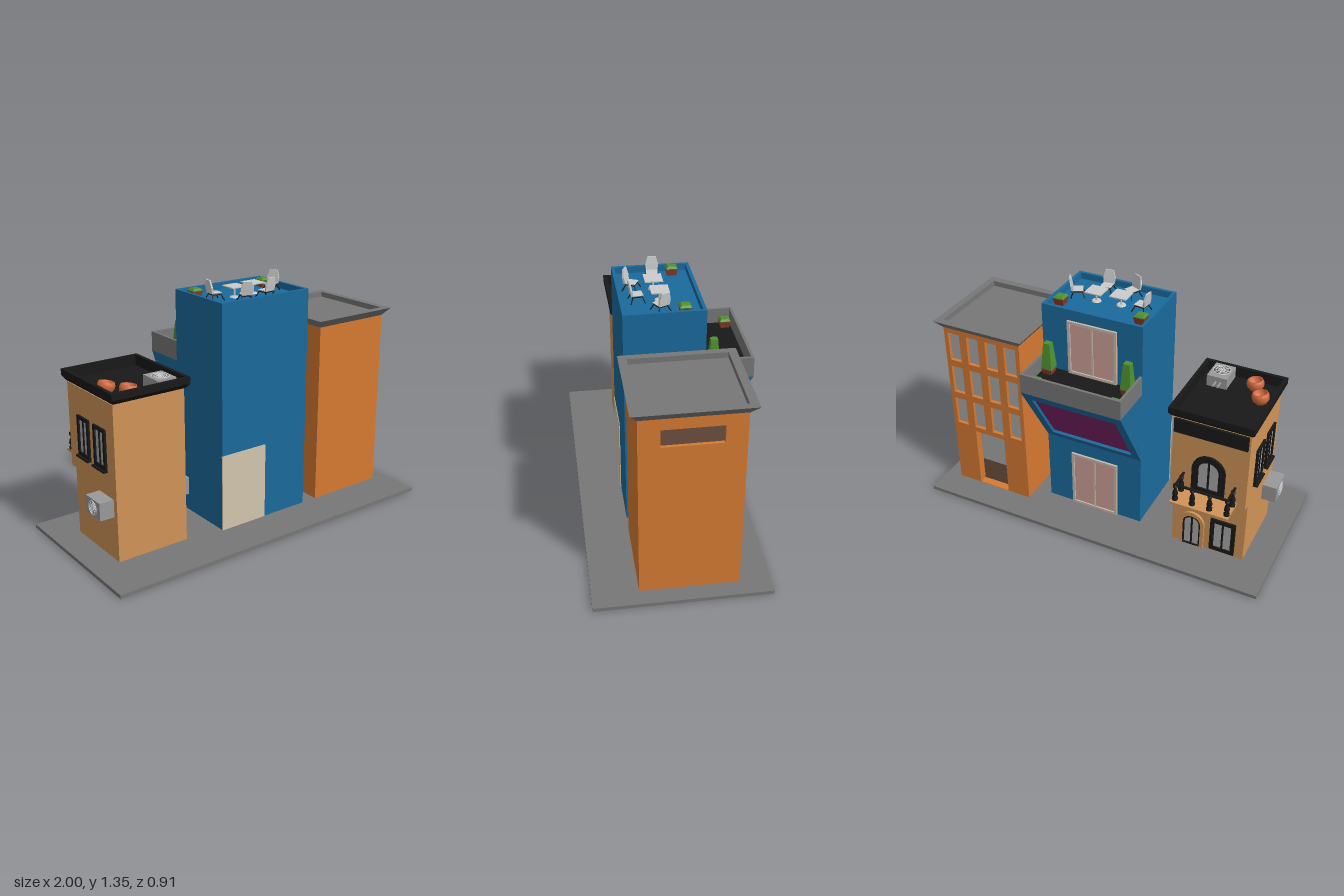
import * as THREE from 'three';

const mats = {};
const mat = (c) => (mats[c] ??= new THREE.MeshStandardMaterial({ color: c, side: THREE.DoubleSide }));
const GREY = 0xcccccc, STONE = 0x777777, BLACK = 0x181818, ORANGE = 0xd67a32, BLUE = 0x1a6a9c;
const TAN = 0xd09458, GLASS = 0xa8a8a8, BROWN = 0x6e4e40, GREEN = 0x4f9030, POT = 0x8c3b2c;

function add(parent, name, geo, color, x = 0, y = 0, z = 0) {
  const m = new THREE.Mesh(geo, mat(color));
  m.name = name;
  m.position.set(x, y, z);
  parent.add(m);
  return m;
}

function group(parent, name, x = 0, y = 0, z = 0, ry = 0) {
  const g = new THREE.Group();
  g.name = name;
  g.position.set(x, y, z);
  g.rotation.y = ry;
  parent.add(g);
  return g;
}

// Box given by its limits
const box = (p, name, c, x0, x1, y0, y1, z0, z1) =>
  add(p, name, new THREE.BoxGeometry(x1 - x0, y1 - y0, z1 - z0), c, (x0 + x1) / 2, (y0 + y1) / 2, (z0 + z1) / 2);

// Rectangular cross-sections [halfX, halfZ, y] joined in order, closed at both ends
function loft(sections) {
  const rings = sections.map(([a, b, y]) => [[-a, y, b], [a, y, b], [a, y, -b], [-a, y, -b]]);
  const pos = [];
  const quad = (a, b, c, d) => pos.push(...a, ...b, ...c, ...a, ...c, ...d);
  for (let i = 0; i < rings.length - 1; i++)
    for (let k = 0; k < 4; k++) {
      const n = (k + 1) % 4;
      quad(rings[i][k], rings[i][n], rings[i + 1][n], rings[i + 1][k]);
    }
  quad(...rings.at(-1));
  quad(...rings[0].reverse());
  const g = new THREE.BufferGeometry();
  g.setAttribute('position', new THREE.Float32BufferAttribute(pos, 3));
  g.computeVertexNormals();
  return g;
}

// Rectangle standing on y, centred on x, optionally with a round arch on top
function outline(Type, x, y, w, h, arch) {
  const s = new Type(), r = w / 2;
  s.moveTo(x - r, y).lineTo(x + r, y);
  if (arch) s.lineTo(x + r, y + h - r).absarc(x, y + h - r, r, 0, Math.PI, false);
  else s.lineTo(x + r, y + h).lineTo(x - r, y + h);
  s.closePath();
  return s;
}

// Plate with openings, extruded along +z
function plate(x, y, w, h, holes, depth, arch) {
  const s = outline(THREE.Shape, x, y, w, h, arch);
  holes.forEach((o) => s.holes.push(outline(THREE.Path, ...o)));
  return new THREE.ExtrudeGeometry(s, { depth, bevelEnabled: false, curveSegments: 12 });
}

// Framed opening with pane and centre bar, facing local +z
function framedWindow(p, name, x, y, w, h, t, frame, pane, arch) {
  const g = group(p, name, x, y);
  add(g, 'frame', plate(0, 0, w, h, [[0, t, w - 2 * t, h - 2 * t, arch]], 0.012, arch), frame);
  add(g, 'pane', plate(0, t, w - 2 * t, h - 2 * t, [], 0.004, arch), pane);
  box(g, 'centreBar', frame, -0.005, 0.005, t, h - t, 0, 0.009);
  return g;
}

function fan(p, r) {
  add(p, 'fanDisc', new THREE.CircleGeometry(r, 24), 0x444444, 0, 0, 0.001);
  for (const k of [1, 0.7, 0.4]) add(p, 'fanRing', new THREE.TorusGeometry(r * k, 0.003, 6, 24), GREY, 0, 0, 0.002);
  for (let i = 0; i < 4; i++) add(p, 'fanSpoke', new THREE.BoxGeometry(r * 2, 0.004, 0.003), GREY, 0, 0, 0.002).rotation.z = i * Math.PI / 4;
}

function planter(p, x, y, z, tall) {
  const g = group(p, 'planter', x, y, z);
  add(g, 'pot', loft([[0.024, 0.024, 0], [0.03, 0.03, 0.035], [0.025, 0.025, 0.035], [0.025, 0.025, 0.03]]), POT);
  add(g, 'plant', tall ? loft([[0.03, 0.03, 0.03], [0.018, 0.018, 0.18]])
    : loft([[0.024, 0.024, 0.025], [0.03, 0.03, 0.04], [0.02, 0.02, 0.05]]), GREEN);
}

function chair(p, x, y, z, ry) {
  const g = group(p, 'chair', x, y, z, ry);
  add(g, 'seat', loft([[0.024, 0.024, 0.034], [0.03, 0.03, 0.042]]), GREY);
  add(g, 'backrest', loft([[0.03, 0.005, 0], [0.034, 0.005, 0.03], [0.022, 0.004, 0.072]]), GREY, 0, 0.04, -0.028).rotation.x = -0.15;
  for (const sx of [-1, 1]) for (const sz of [-1, 1]) {
    const leg = add(g, 'leg', new THREE.CylinderGeometry(0.003, 0.003, 0.04, 6), BLACK, sx * 0.03, 0.018, sz * 0.03);
    leg.rotation.set(-sz * 0.4, 0, sx * 0.4);
  }
  box(g, 'legFrame', BLACK, -0.026, 0.026, 0.03, 0.035, -0.026, 0.026);
}

function table(p, x, y, z) {
  const g = group(p, 'table', x, y, z);
  box(g, 'tableTop', GREY, -0.047, 0.047, 0.057, 0.063, -0.047, 0.047);
  add(g, 'tableLeg', new THREE.CylinderGeometry(0.005, 0.005, 0.058, 8), GREY, 0, 0.029);
  add(g, 'tableFoot', new THREE.CylinderGeometry(0.022, 0.026, 0.006, 16), GREY, 0, 0.003);
}

function apartmentBlock(root) {
  const g = group(root, 'apartmentBlock');
  box(g, 'core', ORANGE, 0.44, 0.89, 0.02, 1.04, -0.245, 0.215);
  // Back wall: twelve windows and a deep doorway
  const back = group(g, 'backFacade', 0.675, 0, -0.245, Math.PI);
  const door = [0, 0.02, 0.19, 0.37], wins = [];
  for (let r = 0; r < 3; r++) for (let c = 0; c < 4; c++) wins.push([(c - 1.5) * 0.117, 0.42 + r * 0.21, 0.072, 0.17]);
  add(back, 'backWall', plate(0, 0.02, 0.47, 1.02, [[0, 0.021, 0.19, 0.369], ...wins], 0.05), ORANGE);
  wins.forEach((w) => add(back, 'windowPane', plate(...w, [], 0.03), GLASS));
  add(back, 'doorPanel', plate(...door, [], 0.003), BROWN);
  add(back, 'doorWindow', plate(0, 0.165, 0.19, 0.225, [], 0.005), GLASS);
  // Side wall with a recessed slot
  const side = group(g, 'sideFacade', 0.89, 0, -0.015, Math.PI / 2);
  const slot = [0.025, 0.885, 0.3, 0.095];
  add(side, 'sideWall', plate(0, 0.02, 0.46, 1.02, [slot], 0.02), ORANGE);
  add(side, 'slotPanel', plate(...slot, [], 0.003), BROWN);
  add(g, 'cornice', loft([[0.235, 0.255, 1.04], [0.27, 0.293, 1.085], [0.232, 0.25, 1.085], [0.232, 0.25, 1.055]]), STONE, 0.675, 0, -0.042);
}

function terraceHouse(root) {
  const g = group(root, 'terraceHouse');
  const cx = 0.06, hx = 0.285, roofY = 1.235;
  add(g, 'body', loft([[hx, 0.2075, 0.02], [hx, 0.2075, 1.27], [hx - 0.018, 0.19, 1.27], [hx - 0.018, 0.19, roofY]]), BLUE, cx, 0, 0.0075);
  box(g, 'frontPanel', 0xd3c6ae, -0.226, 0.062, 0.02, 0.45, 0.21, 0.218);
  // Sloped underside carrying a screen
  const wedge = new THREE.Shape([[0.19, 0.473], [0.2, 0.49], [0.427, 0.875], [0.19, 0.875]].map((q) => new THREE.Vector2(...q)));
  add(g, 'wedge', new THREE.ExtrudeGeometry(wedge, { depth: 2 * hx, bevelEnabled: false }), BLUE, cx - hx).rotation.y = Math.PI / 2;
  const slope = group(g, 'screenFace', cx, 0.46, -0.183);
  slope.rotation.set(-Math.atan2(0.25, 0.425), Math.PI, 0);
  const screen = [0, 0.045, 0.48, 0.385];
  add(slope, 'screenFrame', plate(0, 0, 2 * hx, 0.493, [screen], 0.02), BLUE);
  add(slope, 'screen', plate(...screen, [], 0.004), 0x7d2268);
  // Terrace
  box(g, 'terraceFloor', BLACK, cx - hx + 0.01, cx + hx - 0.01, 0.876, 0.9, -0.44, -0.2);
  box(g, 'terraceBackParapet', STONE, cx - hx, cx + hx, 0.875, 0.985, -0.45, -0.435);
  for (const s of [-1, 1]) {
    const x = cx + s * (hx - 0.0075);
    box(g, 'terraceSideParapet', STONE, x - 0.0075, x + 0.0075, 0.875, 0.985, -0.435, -0.2);
    planter(g, cx + s * 0.228, 0.9, -0.25, true);
    planter(g, cx + s * 0.228, 0.9, -0.4, false);
    planter(g, cx + s * 0.228, roofY, -0.1, false);
  }
  const doors = group(g, 'glassDoors', 0.055, 0, -0.2, Math.PI);
  framedWindow(doors, 'streetDoor', 0, 0.02, 0.28, 0.35, 0.015, 0xc9bbae, 0xcfa198);
  framedWindow(doors, 'terraceDoor', 0, 0.9, 0.28, 0.31, 0.015, 0xc9bbae, 0xcfa198);
  // Rooftop seating
  table(g, 0, roofY, 0.02);
  table(g, 0.135, roofY, 0.005);
  chair(g, -0.12, roofY, 0.01, 1.45);
  chair(g, 0.25, roofY, 0.015, -1.1);
  chair(g, -0.01, roofY, 0.13, 2.7);
  chair(g, 0.13, roofY, 0.12, 3.25);
}

function balconyHouse(root) {
  const g = group(root, 'balconyHouse');
  const cx = -0.64;
  box(g, 'lowerStorey', TAN, -0.845, -0.435, 0.02, 0.4, -0.235, 0.18);
  box(g, 'upperStorey', TAN, -0.845, -0.435, 0.395, 0.86, -0.28, 0.18);
  add(g, 'roof', loft([[0.207, 0.235, 0.865], [0.225, 0.257, 0.89], [0.225, 0.257, 0.925], [0.205, 0.237, 0.925], [0.205, 0.237, 0.868]]), BLACK, cx, 0, -0.047);
  box(g, 'signBoard', BLACK, -0.835, -0.445, 0.78, 0.86, -0.295, -0.28);
  // Back openings
  const up = group(g, 'upperFacade', cx, 0, -0.28, Math.PI);
  framedWindow(up, 'balconyDoor', 0, 0.435, 0.18, 0.24, 0.035, BLACK, GLASS, true);
  const low = group(g, 'lowerFacade', cx, 0, -0.235, Math.PI);
  add(low, 'doorSurround', plate(-0.09, 0.02, 0.14, 0.225, [[-0.09, 0.021, 0.1, 0.2, true]], 0.014, true), TAN);
  framedWindow(low, 'archedDoor', -0.09, 0.02, 0.1, 0.2, 0.008, BLACK, GLASS, true);
  framedWindow(low, 'shopWindow', 0.085, 0.035, 0.14, 0.21, 0.022, BLACK, GLASS);
  // Balcony
  box(g, 'balconySlab', TAN, -0.8, -0.485, 0.42, 0.435, -0.42, -0.28);
  const vase = [[0, 0], [0.016, 0], [0.016, 0.012], [0.009, 0.016], [0.015, 0.035], [0.013, 0.05], [0.006, 0.07], [0.012, 0.08], [0.012, 0.092], [0, 0.092]];
  const baluster = new THREE.LatheGeometry(vase.map((q) => new THREE.Vector2(...q)), 12);
  for (const x of [-0.785, -0.6917, -0.5983, -0.505]) add(g, 'baluster', baluster, BLACK, x, 0.435, -0.39);
  box(g, 'balconyRail', BLACK, -0.795, -0.495, 0.525, 0.532, -0.397, -0.383);
  for (const x of [-0.785, -0.505]) {
    add(g, 'baluster', baluster, BLACK, x, 0.435, -0.31);
    box(g, 'balconySideRail', BLACK, x - 0.006, x + 0.006, 0.525, 0.532, -0.39, -0.28);
  }
  // Side windows and wall coolers
  for (const s of [-1, 1]) {
    const side = group(g, 'sideFacade', cx + s * 0.205, 0, 0, s * Math.PI / 2);
    for (const z of [-0.12, 0.045]) {
      const w = framedWindow(side, 'sideWindow', -s * z, 0.495, 0.115, 0.215, 0.018, BLACK, GLASS);
      box(w, 'sill', BLACK, -0.06, 0.06, -0.01, 0, 0, 0.025);
    }
    const d = s < 0 ? 0.08 : 0.04;
    const cooler = group(side, 'wallCooler', -s * 0.08, 0.3075, d);
    box(cooler, 'coolerCase', 0x999999, -0.07, 0.07, -0.0475, 0.0475, -d, 0);
    fan(cooler, 0.037);
  }
  // Rooftop cooler and tub chairs
  const unit = group(g, 'roofCooler', -0.535, 0.93, 0.11);
  box(unit, 'coolerCase', 0x999999, -0.055, 0.055, -0.062, 0, -0.065, 0.07);
  const top = group(unit, 'roofFan', 0, 0, 0.01);
  top.rotation.x = -Math.PI / 2;
  fan(top, 0.045);
  for (const x of [-0.02, 0.005]) add(unit, 'pipe', new THREE.CylinderGeometry(0.006, 0.006, 0.05, 8), 0x999999, x, -0.03, -0.085).rotation.x = Math.PI / 2;
  const tub = [[0, 0], [0.03, 0], [0.044, 0.02], [0.046, 0.04], [0.04, 0.056], [0.033, 0.056], [0.031, 0.03], [0, 0.026]];
  const tubGeo = new THREE.LatheGeometry(tub.map((q) => new THREE.Vector2(...q)), 20);
  for (const [x, z, tilt] of [[-0.79, 0.015, -0.2], [-0.725, 0.12, -0.15]])
    add(g, 'tubChair', tubGeo, 0xd0693f, x, 0.868, z).rotation.z = tilt;
}

export function createModel() {
  const root = new THREE.Group();
  root.name = 'streetBlock';
  box(root, 'ground', STONE, -1, 1, 0, 0.02, -0.455, 0.455);
  apartmentBlock(root);
  terraceHouse(root);
  balconyHouse(root);
  return root;
}
